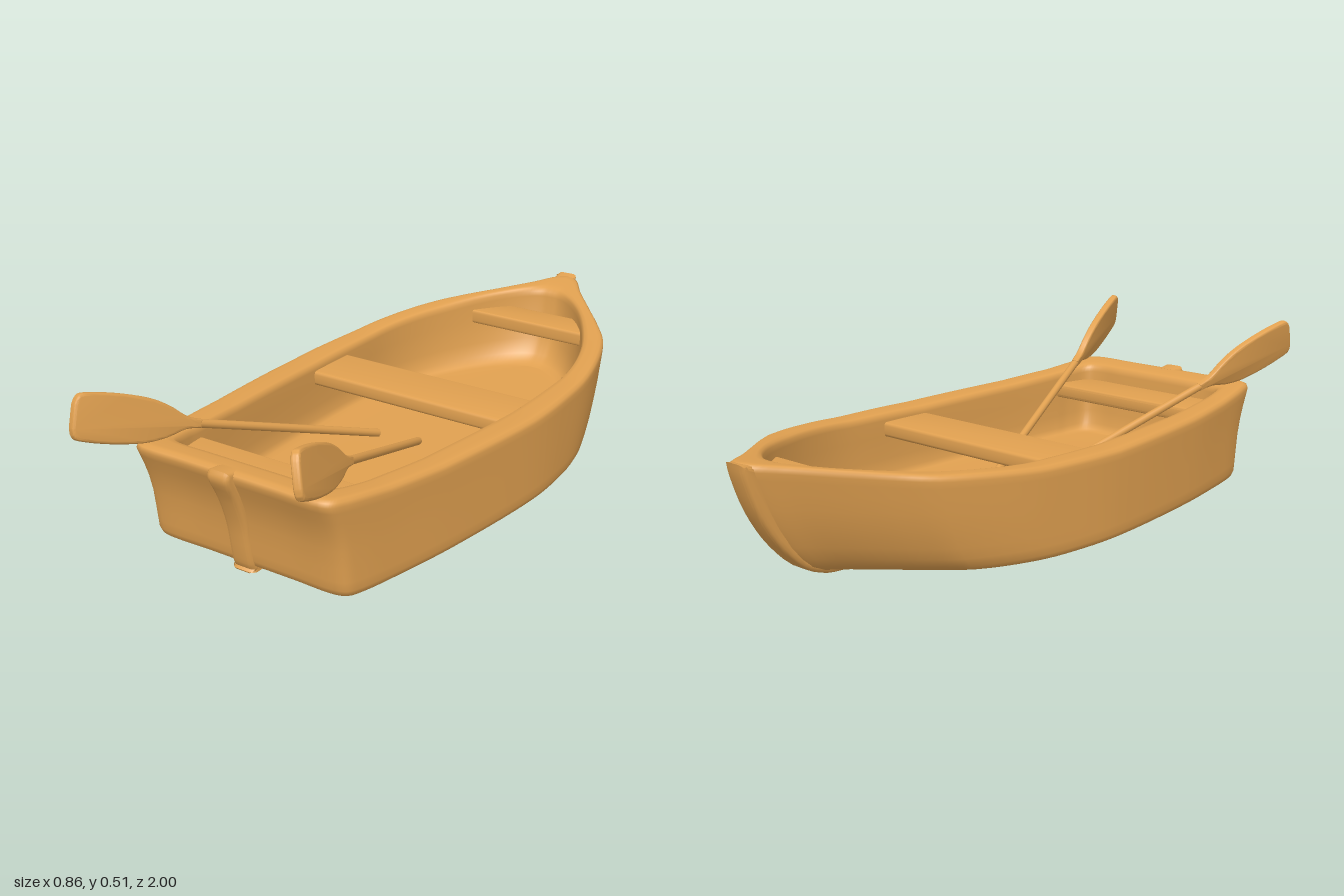
import * as THREE from 'three';
import { toCreasedNormals } from 'three/addons/utils/BufferGeometryUtils.js';

const wood = new THREE.MeshStandardMaterial({ color: 0xe0a050 });
const V = (x, y, z) => new THREE.Vector3(x, y, z);

function addMesh(parent, name, geometry) {
  const mesh = new THREE.Mesh(geometry, wood);
  mesh.name = name;
  parent.add(mesh);
  return mesh;
}

// Half plan outlines [x, z] from the middle of the stern round to the bow
const OUTER = [[0, .81], [.15, .81], [.29, .81], [.32, .795], [.337, .75], [.365, .6], [.395, .4], [.43, 0],
  [.425, -.2], [.4, -.4], [.33, -.61], [.265, -.7], [.18, -.8], [.09, -.905], [.035, -.98], [0, -1]];
const INNER = [[0, .715], [.13, .715], [.22, .715], [.26, .7], [.28, .64], [.288, .58], [.31, .4], [.338, 0],
  [.34, -.2], [.33, -.38], [.285, -.54], [.2, -.7], [.13, -.79], [.07, -.84], [.03, -.858], [0, -.86]];

// Height of the gunwale along the boat
const SHEER = [[-1, .365], [-.8, .335], [-.6, .31], [-.3, .286], [0, .28], [.4, .288], [.6, .3], [.81, .325]];
function sheer(z) {
  let i = 0;
  while (i < SHEER.length - 2 && z > SHEER[i + 1][0]) i++;
  const [[z0, y0], [z1, y1]] = [SHEER[i], SHEER[i + 1]];
  return THREE.MathUtils.lerp(y0, y1, THREE.MathUtils.clamp((z - z0) / (z1 - z0), 0, 1));
}

// Closed outline: sampled half plus its mirror image
function outline(points, n = 75) {
  const half = new THREE.CatmullRomCurve3(points.map(([x, z]) => V(x, 0, z))).getPoints(n);
  const mirrored = half.slice(1, -1).reverse().map((p) => V(-p.x, 0, p.z));
  return [...half, ...mirrored];
}

// Hull skin: rings run from the keel line up the outside, over the rim and down to the floor
function hullGeometry() {
  const outer = outline(OUTER), inner = outline(INNER), n = outer.length;
  // [outer-to-inner blend, height fraction, width scale, stern scale, bow scale]
  const rings = [
    [0, .06, 0, .89, .7], [0, .06, .5, .89, .7], [0, .06, .92, .89, .71], [0, .067, .96, .9, .74],
    [0, .09, .988, .912, .775], [0, .14, 1, .92, .815], [0, .22, 1, .924, .85], [0, .33, 1, .929, .885],
    [0, .5, 1, .938, .925], [0, .65, 1, .953, .953], [0, .78, 1, .972, .972], [0, .88, 1, .99, .987],
    [0, .94, 1, 1, .995], [.04, .975, 1, 1, 1], [.15, .995, 1, 1, 1], [.3, 1, 1, 1, 1], [.7, 1, 1, 1, 1],
    [.88, .99, 1, 1, 1], [.97, .965, 1, 1, 1], [1, .92, 1, 1, 1], [1, .75, 1, .995, .995],
    [1, .5, .995, .985, .97], [1, .36, .98, .975, .94], [1, .3, .95, .96, .91], [1, .28, .9, .94, .88],
    [1, .28, .5, .94, .88], [1, .28, 0, .94, .88],
  ];
  const pos = [], index = [];
  rings.forEach(([k, f, w, stern, bow], i) => {
    for (let j = 0; j < n; j++) {
      const p = outer[j].clone().lerp(inner[j], k);
      pos.push(p.x * w, f * sheer(p.z), p.z * (p.z > 0 ? stern : bow));
      if (i === rings.length - 1) continue;
      const a = i * n + j, b = i * n + (j + 1) % n;
      index.push(a, b, b + n, a, b + n, a + n);
    }
  });
  const g = new THREE.BufferGeometry();
  g.setAttribute('position', new THREE.Float32BufferAttribute(pos, 3));
  g.setIndex(index);
  g.computeVertexNormals();
  return g;
}

// Centred extrusion with a rounded edge that stays within the drawn shape
function slab(shape, thickness, bevel) {
  const g = new THREE.ExtrudeGeometry(shape, {
    depth: thickness - 2 * bevel, bevelThickness: bevel, bevelSize: bevel, bevelOffset: -bevel,
    bevelSegments: 3, curveSegments: 8,
  });
  g.translate(0, 0, bevel - thickness / 2);
  return toCreasedNormals(g, 0.7);
}

// Keel strip running down the transom, under the hull and up the stem
function keelGeometry() {
  const spline = (pts) => new THREE.SplineCurve(pts.map(([z, y]) => new THREE.Vector2(-z, y))).getPoints(50);
  const outside = spline([[.825, .328], [.832, .3], [.8, .235], [.772, .15], [.757, .06], [.745, .02], [.71, .005],
    [.3, .004], [-.3, .004], [-.66, .01], [-.76, .025], [-.83, .065], [-.9, .14], [-.955, .23], [-.99, .32], [-1, .364]]);
  const inside = spline([[-.95, .352], [-.93, .3], [-.89, .2], [-.82, .11], [-.7, .045], [-.3, .04], [.3, .04],
    [.68, .045], [.72, .1], [.74, .2], [.77, .28], [.78, .322]]);
  const g = slab(new THREE.Shape([...outside, ...inside]), .072, .014);
  g.rotateY(Math.PI / 2);
  g.translate(-.011, 0, 0);
  return g;
}

// Seat plank: half widths at its front and back edges, ends let into the hull wall
function addSeat(parent, name, top, zFront, wFront, zBack, wBack) {
  const shape = new THREE.Shape([[-wFront, -zFront], [wFront, -zFront], [wBack, -zBack], [-wBack, -zBack]]
    .map(([x, y]) => new THREE.Vector2(x, y)));
  const seat = addMesh(parent, name, slab(shape, .045, .01));
  seat.rotation.x = -Math.PI / 2;
  seat.position.y = top - .0225;
}

// Oar: local x runs along the shaft to the tip, local y is across the blade
function addOar(parent, name, start, tip) {
  const oar = new THREE.Group();
  oar.name = name;
  const along = tip.clone().sub(start), length = along.length(), bladeStart = length - .4;
  along.normalize();
  const side = along.clone().cross(V(-.2, 1, 0)).normalize();
  const across = side.clone().cross(along);
  oar.quaternion.setFromRotationMatrix(new THREE.Matrix4().makeBasis(along, across, side));
  oar.position.copy(start);

  const shaft = new THREE.CylinderGeometry(.012, .012, bladeStart + .06, 12);
  shaft.rotateZ(-Math.PI / 2);
  shaft.translate((bladeStart + .06) / 2, 0, 0);
  addMesh(oar, 'shaft', shaft);

  const edge = new THREE.SplineCurve([[0, .012], [.05, .018], [.11, .043], [.18, .06], [.28, .066], [.37, .062],
    [.392, .052], [.4, .03]].map(([x, y]) => new THREE.Vector2(bladeStart + x, y))).getPoints(28);
  const lower = edge.map((p) => new THREE.Vector2(p.x, -p.y));
  addMesh(oar, 'blade', slab(new THREE.Shape([...lower, ...edge.reverse()]), .024, .008));
  parent.add(oar);
}

export function createModel() {
  const boat = new THREE.Group();
  boat.name = 'rowingBoat';
  addMesh(boat, 'hull', hullGeometry());
  addMesh(boat, 'keel', keelGeometry());

  addSeat(boat, 'middleSeat', .255, .01, .37, -.17, .37);
  addSeat(boat, 'bowSeat', .28, -.69, .235, -.81, .125);
  addSeat(boat, 'sternSeat', .26, .73, .28, .575, .315);

  addOar(boat, 'rightOar', V(-.1, .11, .01), V(-.345, .452, .985));
  addOar(boat, 'leftOar', V(.045, .12, .01), V(.35, .465, .96));
  return boat;
}
